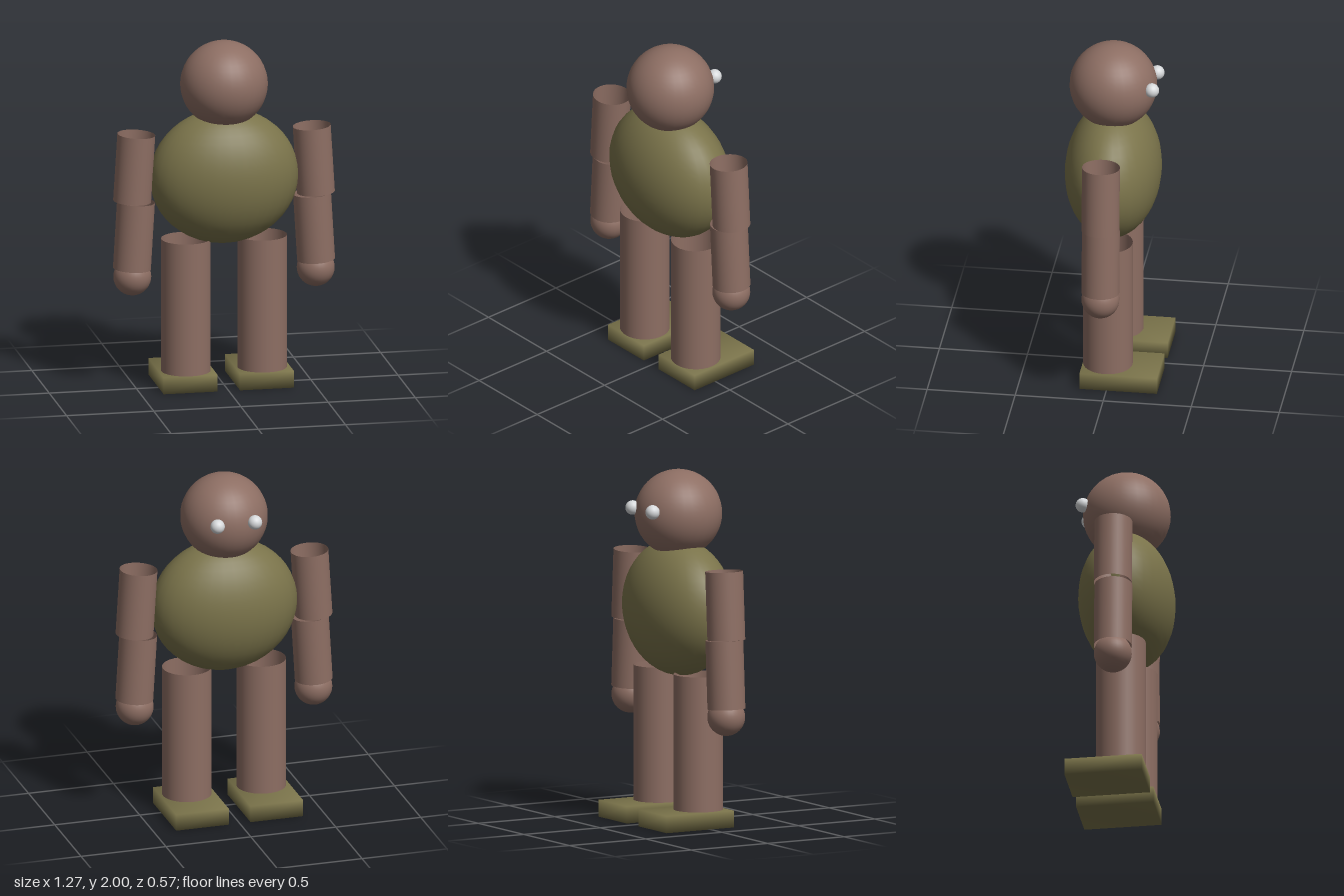
import * as THREE from 'three';
import { mergeVertices } from 'three/addons/utils/BufferGeometryUtils.js';

export function createModel() {
  const model = new THREE.Group();
  model.name = 'figure';

  const skin = new THREE.MeshStandardMaterial({ name: 'brown skin', color: 0x8d6e63, side: THREE.DoubleSide });
  const cloth = new THREE.MeshStandardMaterial({ name: 'olive cloth', color: 0x7a734a });
  const eyeWhite = new THREE.MeshStandardMaterial({ name: 'eye white', color: 0xd6d8da });
  const Z = 0.012; // depth of the body axis

  function add(name, geometry, material, x, y, z) {
    const mesh = new THREE.Mesh(geometry, material);
    mesh.name = name;
    mesh.position.set(x, y, z);
    model.add(mesh);
    return mesh;
  }

  // Open tube between two heights, leaning sideways from x0 (bottom) to x1 (top)
  function limb(name, radius, x0, y0, x1, y1) {
    const length = Math.hypot(x1 - x0, y1 - y0);
    const geometry = new THREE.CylinderGeometry(radius, radius, length, 32, 1, true);
    const mesh = add(name, geometry, skin, (x0 + x1) / 2, (y0 + y1) / 2, Z);
    mesh.rotation.z = -Math.atan2(x1 - x0, y1 - y0);
  }

  // Box whose corners share softened normals
  function softBox(w, h, d) {
    const box = new THREE.BoxGeometry(w, h, d);
    box.deleteAttribute('normal');
    box.deleteAttribute('uv');
    const merged = mergeVertices(box);
    merged.computeVertexNormals();
    return merged;
  }

  // Head and torso
  add('head', new THREE.SphereGeometry(0.247, 32, 24), skin, 0, 1.753, Z);
  const torso = new THREE.SphereGeometry(1, 32, 24).scale(0.423, 0.387, 0.27);
  add('torso', torso, cloth, 0, 1.219, Z);

  // Paired parts; the face and toes point towards -z
  for (const [side, s] of [['left', 1], ['right', -1]]) {
    add(side + 'Eye', new THREE.SphereGeometry(0.041, 20, 14), eyeWhite, s * 0.11, 1.786, -0.222);
    limb(side + 'UpperArm', 0.107, s * 0.527, 1.097, s * 0.503, 1.484);
    limb(side + 'Forearm', 0.107, s * 0.528, 0.705, s * 0.505, 1.092);
    add(side + 'Hand', new THREE.SphereGeometry(0.107, 32, 20), skin, s * 0.526, 0.658, Z);
    limb(side + 'Thigh', 0.14, s * 0.219, 0.471, s * 0.219, 0.864);
    limb(side + 'Shin', 0.14, s * 0.219, 0.09, s * 0.219, 0.471);
    add(side + 'Foot', softBox(0.31, 0.096, 0.44), cloth, s * 0.219, 0.048, -0.067);
  }

  return model;
}
